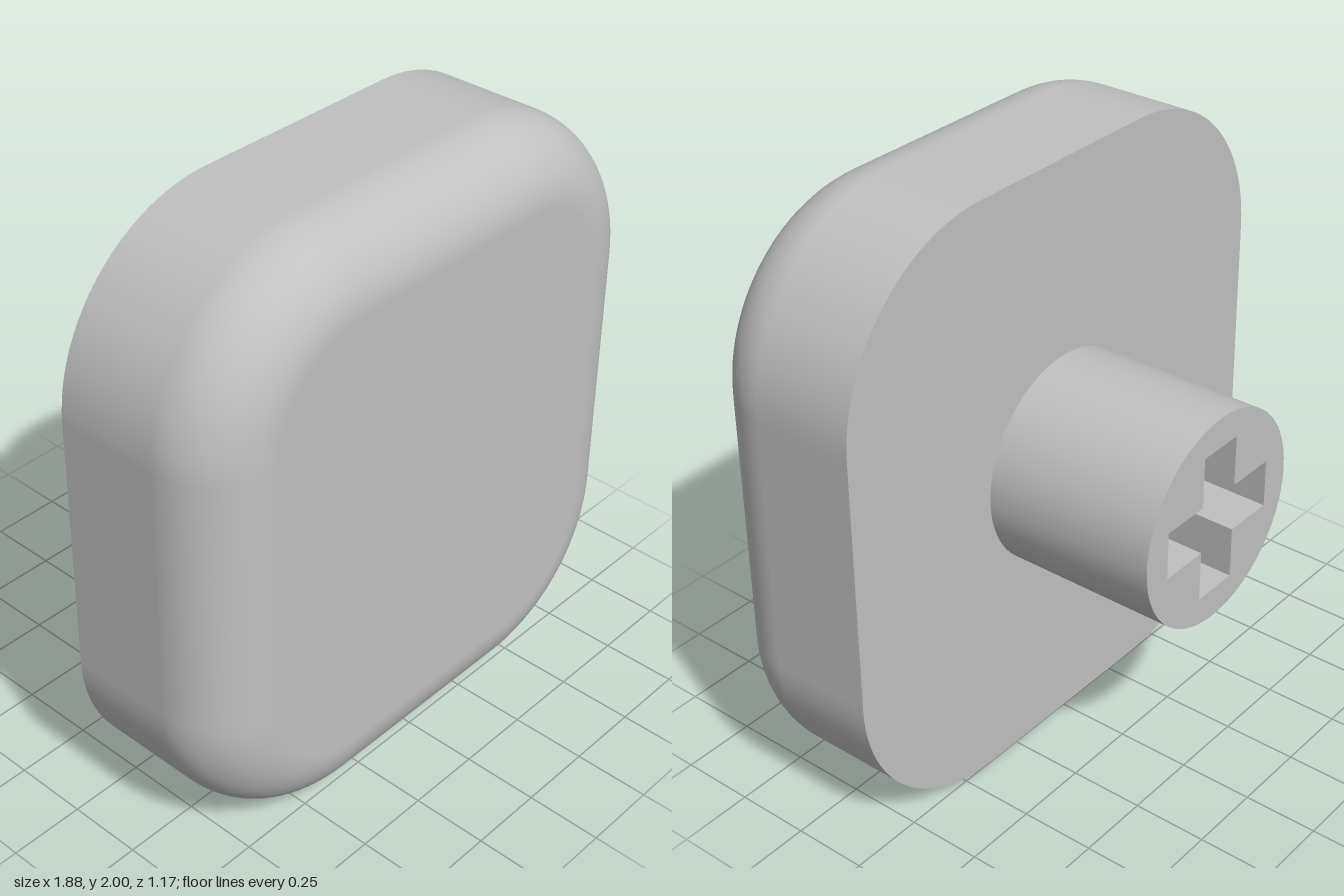
import * as THREE from 'three';
import { toCreasedNormals } from 'three/addons/utils/BufferGeometryUtils.js';

const HALF_W = 0.94, HALF_H = 1, CORNER = 0.57, FILLET = 0.24, DEPTH = 0.587;
const STEM_R = 0.352, STEM_L = 0.587, SOCKET_DEPTH = 0.5;
const ARC = 24, STEPS = 14;

// Rounded rectangle outline pulled inward by inset, with its outward angles
function outline(inset) {
  const pts = [];
  for (let k = 0; k < 4; k++) {
    const cx = (HALF_W - CORNER) * (k === 0 || k === 3 ? 1 : -1);
    const cy = (HALF_H - CORNER) * (k < 2 ? 1 : -1);
    for (let i = 0; i <= ARC; i++) {
      const a = (k + i / ARC) * Math.PI / 2;
      const r = CORNER - inset;
      pts.push({ x: cx + r * Math.cos(a), y: cy + r * Math.sin(a), a });
    }
  }
  return pts;
}

function flatFace(inset) {
  return new THREE.ShapeGeometry(new THREE.Shape(outline(inset).map(p => new THREE.Vector2(p.x, p.y))));
}

// Straight wall followed by a quarter-round towards the front
function wallGeometry() {
  const rings = [{ inset: 0, z: 0, t: 0 }];
  for (let i = 0; i <= STEPS; i++) {
    const t = i / STEPS * Math.PI / 2;
    rings.push({ inset: FILLET * (1 - Math.cos(t)), z: DEPTH - FILLET + FILLET * Math.sin(t), t });
  }
  const pos = [], nor = [], idx = [];
  const n = 4 * (ARC + 1);
  rings.forEach((ring, r) => {
    outline(ring.inset).forEach((p, i) => {
      pos.push(p.x, p.y, ring.z);
      nor.push(Math.cos(p.a) * Math.cos(ring.t), Math.sin(p.a) * Math.cos(ring.t), Math.sin(ring.t));
      if (r === rings.length - 1) return;
      const a = r * n + i, b = r * n + (i + 1) % n;
      idx.push(a, b, b + n, a, b + n, a + n);
    });
  });
  const g = new THREE.BufferGeometry();
  g.setAttribute('position', new THREE.Float32BufferAttribute(pos, 3));
  g.setAttribute('normal', new THREE.Float32BufferAttribute(nor, 3));
  g.setIndex(idx);
  return g;
}

// Plus-shaped outline of the socket
function crossPoints() {
  const L = 0.25, w = 0.08;
  return [[L, -w], [L, w], [w, w], [w, L], [-w, L], [-w, w], [-L, w], [-L, -w],
    [-w, -w], [-w, -L], [w, -L], [w, -w]].map(([x, y]) => new THREE.Vector2(x, y));
}

export function createModel() {
  const model = new THREE.Group();
  model.name = 'keycap';
  const grey = new THREE.MeshStandardMaterial({ color: 0xc0c0c0 });
  grey.name = 'light grey';

  const add = (name, geometry, parent) => {
    const mesh = new THREE.Mesh(geometry, grey);
    mesh.name = name;
    parent.add(mesh);
    return mesh;
  };

  // Cap body
  const cap = new THREE.Group();
  cap.name = 'cap';
  add('capWall', wallGeometry(), cap);
  add('capFront', flatFace(FILLET), cap).position.z = DEPTH;
  add('capBack', flatFace(0), cap).rotation.y = Math.PI;

  // Round stem with a cross socket open at the back
  const stem = new THREE.Group();
  stem.name = 'stem';
  const disc = new THREE.Shape().absarc(0, 0, STEM_R, 0, Math.PI * 2);
  disc.holes.push(new THREE.Path(crossPoints()));
  const tube = new THREE.ExtrudeGeometry(disc, { depth: STEM_L, bevelEnabled: false, curveSegments: 48 });
  add('stemTube', toCreasedNormals(tube, 0.6), stem).position.z = -STEM_L;
  const floor = add('socketFloor', new THREE.ShapeGeometry(new THREE.Shape(crossPoints())), stem);
  floor.rotation.y = Math.PI;
  floor.position.z = SOCKET_DEPTH - STEM_L;

  model.add(cap, stem);
  cap.position.y = stem.position.y = HALF_H;
  return model;
}
